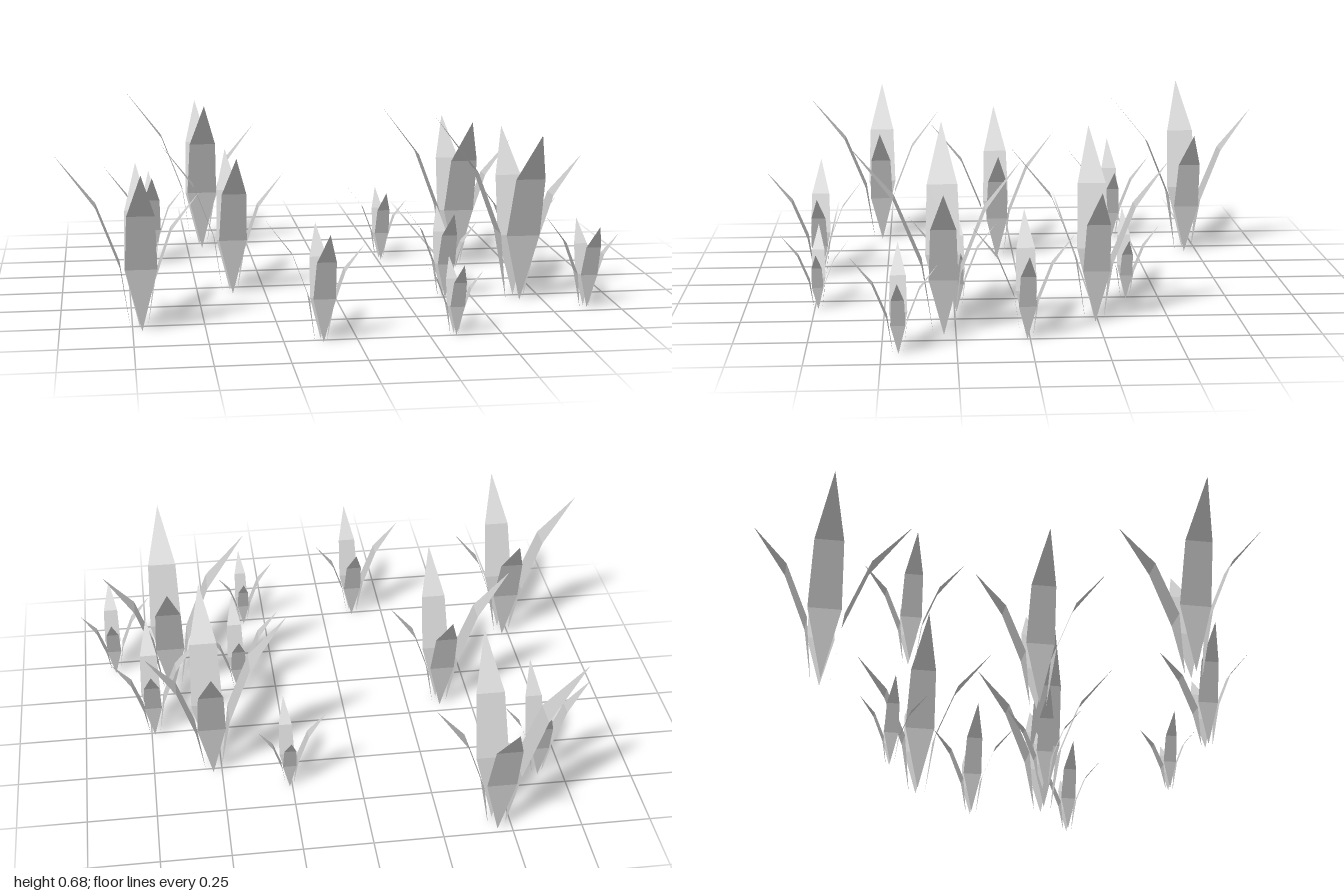
import * as THREE from 'three';

// Each blade: turn about y, half width, and side profile as [outward, height]
// at the base point, the two wide rows and the tip.
const BLADES = [
  { name: 'frontBlade', turn: 0, shift: 0.008, half: 0.061, path: [[0.036, 0], [0.073, 0.25], [0.165, 0.475], [0.315, 0.657]] },
  { name: 'leftBlade', turn: Math.PI / 2, shift: 0, half: 0.05, path: [[0.03, 0], [0.06, 0.2], [0.125, 0.39], [0.237, 0.532]] },
  { name: 'backBlade', turn: Math.PI, shift: 0, half: 0.055, path: [[0.033, 0], [0.06, 0.225], [0.142, 0.435], [0.267, 0.6]] },
  { name: 'rightBlade', turn: -Math.PI / 2, shift: 0, half: 0.061, path: [[0.035, 0], [0.071, 0.255], [0.157, 0.485], [0.305, 0.68]] },
];

// Tufts: [x, z, scale]
const TUFTS = [
  [0.657, 0.291, 1], [-0.447, -0.70, 0.965], [0.532, -0.24, 0.945],
  [-0.725, 0.531, 0.9], [-0.377, 0.067, 0.84], [-0.123, 0.755, 0.62],
  [-0.658, -0.424, 0.58], [0.26, -0.379, 0.455], [0.738, 0.01, 0.6],
  [0.396, 0.243, 0.53], [0.877, 0.443, 0.5], [0.337, 0.737, 0.415],
];

// A thin bent leaf: pointed at both ends, two wide rows between
function bladeGeometry({ half, path, turn, shift }) {
  const [base, mid, upper, tip] = path;
  const w = half * 0.87;
  const geo = new THREE.BufferGeometry();
  geo.setAttribute('position', new THREE.Float32BufferAttribute([
    0, base[1], base[0],
    -half, mid[1], mid[0], half, mid[1], mid[0],
    -w, upper[1], upper[0], w, upper[1], upper[0],
    0, tip[1], tip[0],
  ], 3));
  geo.setIndex([0, 2, 1, 1, 2, 4, 1, 4, 3, 3, 4, 5]);
  geo.translate(shift, 0, 0);
  geo.rotateY(turn);
  const flat = geo.toNonIndexed();
  flat.computeVertexNormals();
  return flat;
}

export function createModel() {
  const model = new THREE.Group();
  model.name = 'grassPatch';
  const material = new THREE.MeshStandardMaterial({
    color: 0xcccccc, flatShading: true, side: THREE.DoubleSide,
  });
  const geometries = BLADES.map(bladeGeometry);

  // Same four-bladed tuft repeated at different sizes
  TUFTS.forEach(([x, z, scale], i) => {
    const tuft = new THREE.Group();
    tuft.name = `grassTuft${i + 1}`;
    BLADES.forEach((blade, b) => {
      const mesh = new THREE.Mesh(geometries[b], material);
      mesh.name = blade.name;
      tuft.add(mesh);
    });
    tuft.position.set(x, 0, z);
    tuft.scale.setScalar(scale);
    model.add(tuft);
  });
  return model;
}
